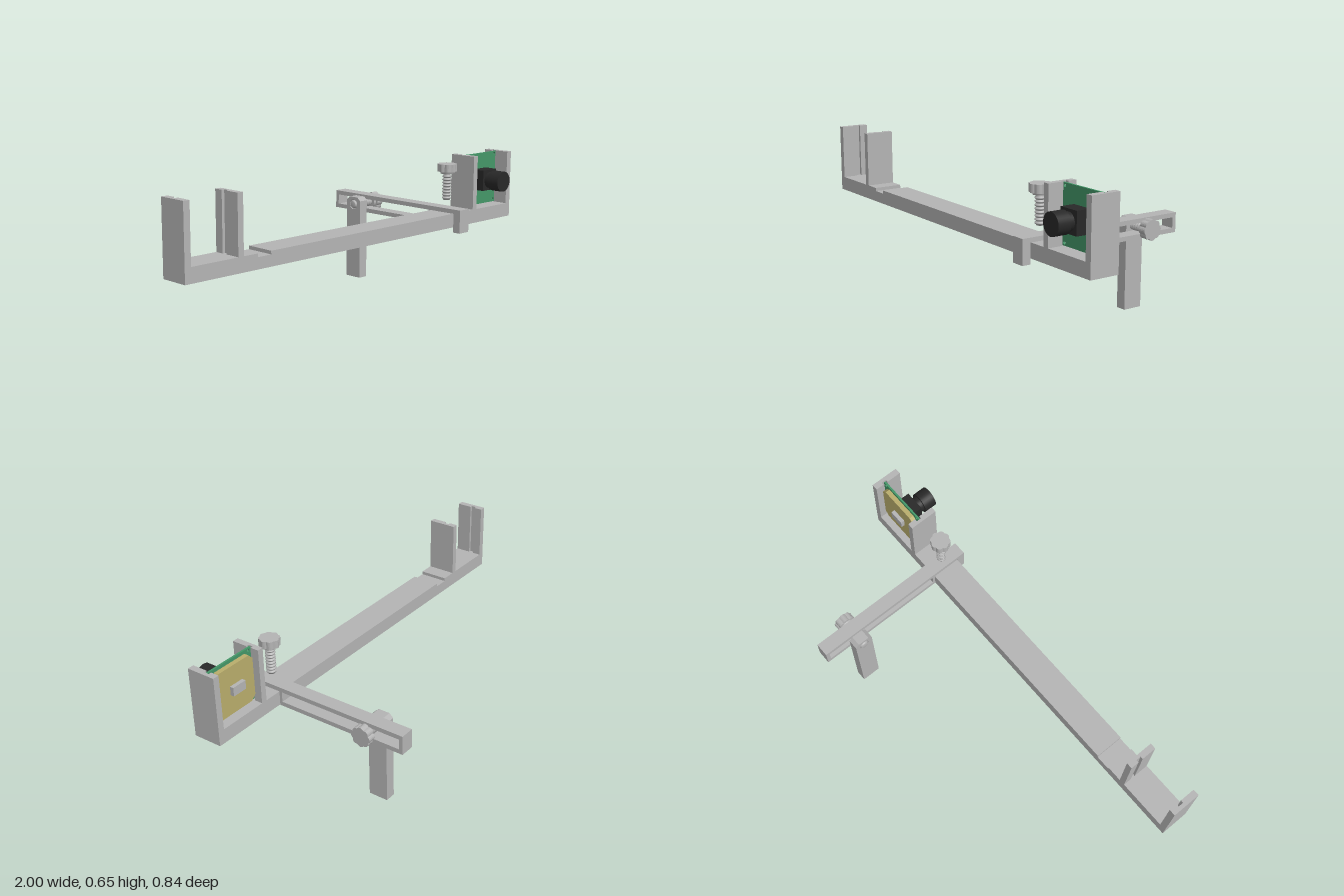
import * as THREE from 'three';

const mat = (name, color) => Object.assign(new THREE.MeshStandardMaterial({ color }), { name });

// Closed shape from [x, y] points
const shapeOf = (pts) => new THREE.Shape(pts.map(([x, y]) => new THREE.Vector2(x, y)));
const extrude = (shape, depth) =>
  new THREE.ExtrudeGeometry(shape, { depth, bevelEnabled: false, curveSegments: 8 });

// Rectangle with cut corners
const chamferedRect = (x0, x1, y0, y1, c) => shapeOf([
  [x0 + c, y0], [x1 - c, y0], [x1, y0 + c], [x1, y1 - c],
  [x1 - c, y1], [x0 + c, y1], [x0, y1 - c], [x0, y0 + c]]);

const circleHole = (x, y, r) => new THREE.Path().absarc(x, y, r, 0, Math.PI * 2, true);

export function createModel() {
  const grey = mat('grey plastic', 0xb4b4b4);
  const green = mat('green board', 0x449768);
  const khaki = mat('khaki plate', 0xb9ad6c);
  const black = mat('black lens', 0x282828);

  const model = new THREE.Group();
  model.name = 'cameraRig';
  const add = (name, geometry, material, parent = model) => {
    const mesh = new THREE.Mesh(geometry, material);
    mesh.name = name;
    parent.add(mesh);
    return mesh;
  };
  const box = (name, x0, x1, y0, y1, z0, z1, material) =>
    add(name, new THREE.BoxGeometry(x1 - x0, y1 - y0, z1 - z0), material)
      .position.set((x0 + x1) / 2, (y0 + y1) / 2, (z0 + z1) / 2);

  const Z0 = 0.213, Z1 = 0.347, FLOOR = 0.395;

  // Long beam with a shallow notch across its top
  const beam = extrude(shapeOf([
    [-1, 0.33], [1, 0.33], [1, FLOOR], [-0.57, FLOOR],
    [-0.57, 0.38], [-0.64, 0.38], [-0.64, FLOOR], [-1, FLOOR]]), Z1 - Z0);
  beam.translate(0, 0, Z0);
  add('beam', beam, grey);

  // Uprights, each with a vertical groove on its inner face
  const upright = (name, outer, inner) => {
    const d = Math.sign(inner - outer);
    const pts = [
      [outer, -Z1], [inner, -Z1], [inner, -0.276], [inner - d * 0.013, -0.276],
      [inner - d * 0.013, -0.252], [inner, -0.252], [inner, -Z0], [outer, -Z0]];
    const g = extrude(shapeOf(pts), 0.648 - FLOOR);
    g.rotateX(-Math.PI / 2);
    g.translate(0, FLOOR, 0);
    add(name, g, grey);
  };
  for (const [side, s] of [['left', 1], ['right', -1]]) {
    upright(side + 'OuterUpright', s, s * 0.97);
    upright(side + 'InnerUpright', s * 0.712, s * 0.74);
  }

  // Slotted cross arm, hooked over the front of the beam
  const armShape = shapeOf([
    [-0.388, 0.306], [-0.35, 0.306], [-0.35, FLOOR], [-0.213, FLOOR],
    [-0.213, 0.328], [0.418, 0.328], [0.418, 0.415], [-0.388, 0.415]]);
  armShape.holes.push(new THREE.Path([
    [-0.2, 0.348], [-0.2, 0.395], [0.4, 0.395], [0.4, 0.348]]
    .map(([x, y]) => new THREE.Vector2(x, y))));
  const arm = extrude(armShape, 0.065);
  arm.rotateY(Math.PI / 2);
  arm.translate(0.565, 0, 0);
  add('crossArm', arm, grey);

  // Leg with a cut-corner top and a screw hole
  const legShape = shapeOf([
    [0.2, 0], [0.29, 0], [0.29, 0.39], [0.272, 0.407], [0.218, 0.407], [0.2, 0.39]]);
  legShape.holes.push(circleHole(0.245, 0.37, 0.025));
  const leg = extrude(legShape, 0.049);
  leg.rotateY(Math.PI / 2);
  leg.translate(0.513, 0, 0);
  add('leg', leg, grey);

  // Thumb screws: scalloped head, collar and ridged shank, head top at local y = 0
  const thumbScrew = (name) => {
    const g = new THREE.Group();
    g.name = name;
    const outline = [];
    for (let i = 0; i < 48; i++) {
      const a = i / 48 * Math.PI * 2;
      const r = 0.0405 + 0.0055 * Math.abs(Math.cos(a * 4));
      outline.push([Math.cos(a) * r, Math.sin(a) * r]);
    }
    const head = extrude(shapeOf(outline), 0.036);
    head.rotateX(-Math.PI / 2);
    head.translate(0, -0.036, 0);
    add('screwHead', head, grey, g);
    add('screwCollar', new THREE.CylinderGeometry(0.034, 0.03, 0.01, 20), grey, g)
      .position.y = -0.041;
    const profile = [[0, -0.17], [0.016, -0.17]];
    for (let i = 0; i < 8; i++) {
      const y = -0.167 + i * 0.0145;
      profile.push([0.016, y], [0.022, y + 0.005], [0.022, y + 0.008], [0.016, y + 0.013]);
    }
    profile.push([0.016, -0.04]);
    const shank = new THREE.LatheGeometry(profile.map(([x, y]) => new THREE.Vector2(x, y)), 20);
    add('screwThread', shank.toNonIndexed(), grey, g);
    model.add(g);
    return g;
  };
  thumbScrew('beamScrew').position.set(0.597, 0.62, 0.28);
  const legScrew = thumbScrew('legScrew');
  legScrew.position.set(0.677, 0.37, -0.245);
  legScrew.rotation.z = -Math.PI / 2;

  // Circuit board with corner holes
  const boardShape = shapeOf([[0.73, 0.396], [0.98, 0.396], [0.98, 0.645], [0.73, 0.645]]);
  for (const x of [0.745, 0.965])
    for (const y of [0.408, 0.634]) boardShape.holes.push(circleHole(x, y, 0.007));
  const board = extrude(boardShape, 0.009);
  board.translate(0, 0, 0.263);
  add('circuitBoard', board, green);

  // Back plate and connector
  const plate = extrude(chamferedRect(0.746, 0.964, 0.412, 0.63, 0.022), 0.022);
  plate.translate(0, 0, 0.241);
  add('backPlate', plate, khaki);
  box('connector', 0.815, 0.887, 0.503, 0.543, 0.223, 0.242, grey);

  // Lens: square housing, narrow neck and round barrel
  box('lensHousing', 0.802, 0.9, 0.473, 0.571, 0.271, 0.335, black);
  const barrel = (name, r, z0, z1) => {
    const g = new THREE.CylinderGeometry(r, r, z1 - z0, 32);
    g.rotateX(Math.PI / 2);
    add(name, g, black).position.set(0.851, 0.522, (z0 + z1) / 2);
  };
  barrel('lensNeck', 0.038, 0.33, 0.36);
  barrel('lensBarrel', 0.048, 0.358, 0.418);

  return model;
}
